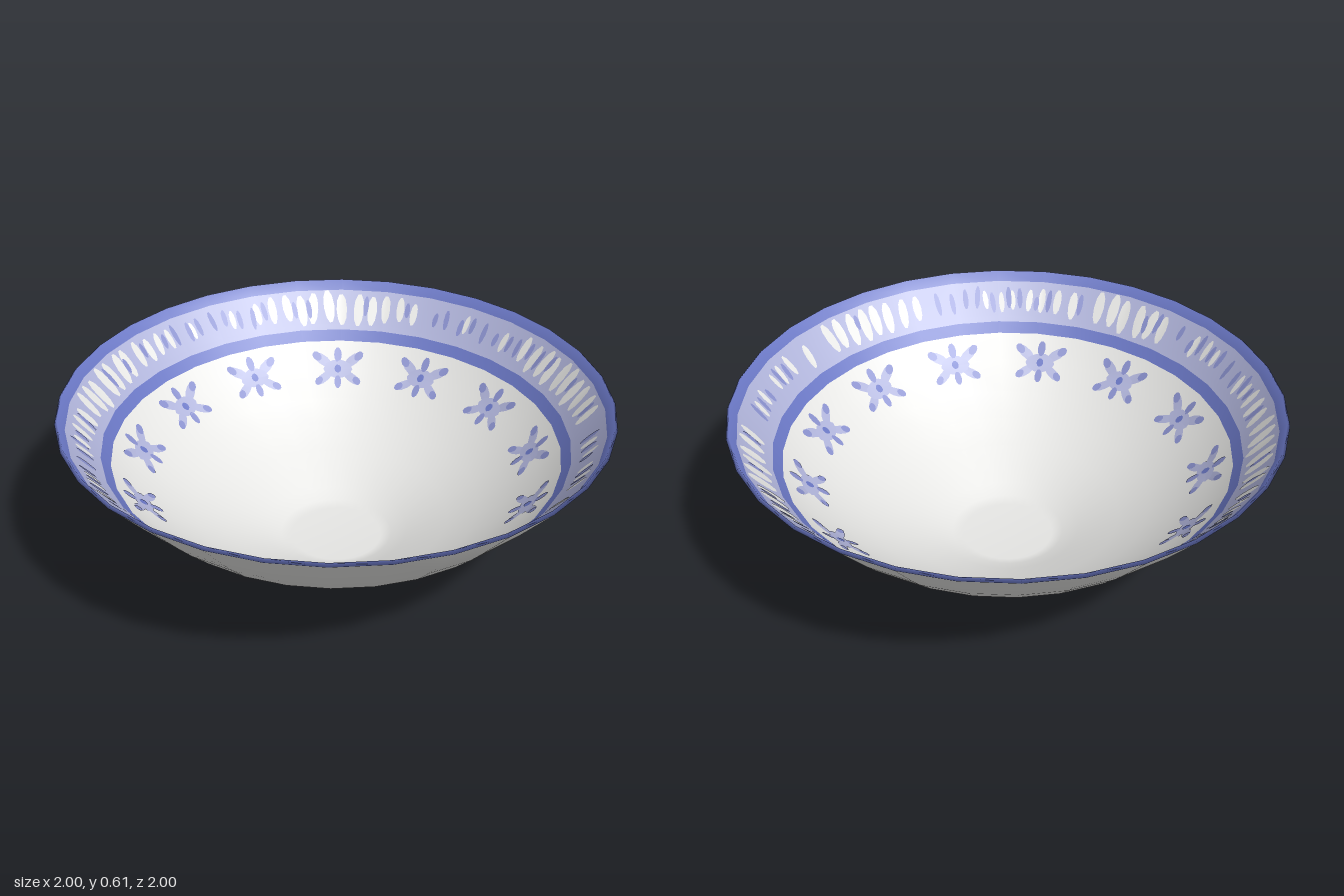
import * as THREE from 'three';
import { mergeGeometries } from 'three/addons/utils/BufferGeometryUtils.js';

const SIDES = 32;
const THICK = 0.012;

// Outer profile: radius, height
const OUTER = [
  [0, 0], [0.17, 0], [0.21, 0.012], [0.27, 0.037], [0.42, 0.108], [0.53, 0.168],
  [0.63, 0.233], [0.74, 0.318], [0.82, 0.398], [0.87, 0.452], [1, 0.6],
];

function innerY(r) {
  let i = 1;
  while (i < OUTER.length - 1 && OUTER[i][0] < r) i++;
  const [r0, y0] = OUTER[i - 1], [r1, y1] = OUTER[i];
  return y0 + (y1 - y0) * (r - r0) / (r1 - r0) + THICK;
}

// Point just above the faceted inside surface
function onInside(radius, angle, lift) {
  const step = Math.PI * 2 / SIDES;
  const d = angle - Math.floor(angle / step) * step - step / 2;
  const s = radius * Math.cos(d) / Math.cos(step / 2);
  return [radius * Math.cos(angle), innerY(s) + lift, radius * Math.sin(angle)];
}

// Brush dab: an ellipse (offset u along the rim, v outward) wrapped on the inside
function dab(radius, angle, u, v, ru, rv, turn, lift) {
  const g = new THREE.CircleGeometry(1, 10);
  g.scale(ru, rv, 1).rotateZ(turn).translate(u, v, 0);
  const p = g.attributes.position;
  for (let i = 0; i < p.count; i++) {
    p.setXYZ(i, ...onInside(radius + p.getY(i), angle + p.getX(i) / radius, lift));
  }
  g.computeVertexNormals();
  return g;
}

function seeded(seed) {
  return () => {
    seed = (seed * 16807) % 2147483647;
    return seed / 2147483647;
  };
}

export function createModel() {
  const group = new THREE.Group();
  const make = (name, color) => {
    const m = new THREE.MeshStandardMaterial({ color });
    m.name = name;
    return m;
  };
  const white = make('glazeWhite', 0xe6e6e4);
  const blue = make('bandBlue', 0x6a77c4);
  const mid = make('brushBlue', 0x8990cc);
  const pale = make('washBlue', 0xb0b4da);

  // Bowl shell: up the outside, over the rim, down the inside
  const rows = [];
  OUTER.forEach(([r, y]) => rows.push([r, y, 0]));
  rows.push([0.99, 0.61, 1]);
  const inside = [
    [0.966, 1], [0.87, 2], [0.853, 2], [0.82, 1], [0.74, 0], [0.63, 0],
    [0.53, 0], [0.42, 0], [0.27, 0], [0.21, 0], [0.17, 0], [0, 0],
  ];
  inside.forEach(([r, m]) => rows.push([r, innerY(r), m]));
  const bowl = new THREE.LatheGeometry(rows.map(([r, y]) => new THREE.Vector2(r, y)), SIDES);

  // Regroup the faces so each row takes its band colour
  const n = rows.length, index = [];
  bowl.clearGroups();
  for (let j = 0; j < n - 1; j++) {
    const start = index.length;
    for (let i = 0; i < SIDES; i++) {
      const a = j + i * n, b = a + n;
      index.push(a, b, a + 1, b + 1, a + 1, b);
    }
    bowl.addGroup(start, index.length - start, rows[j + 1][2]);
  }
  bowl.setIndex(index);
  const shell = new THREE.Mesh(bowl, [white, blue, pale]);
  shell.name = 'bowl';
  group.add(shell);

  const addPaint = (name, dabs, material) => {
    const mesh = new THREE.Mesh(mergeGeometries(dabs), material);
    mesh.name = name;
    group.add(mesh);
  };

  // Brush strokes around the border, alternately denser and sparser
  const random = seeded(77);
  const gaps = [], strokes = [];
  const count = 96;
  for (let k = 0; k < count; k++) {
    const angle = (k + 0.3 * random()) / count * Math.PI * 2;
    const open = 0.5 + 0.5 * Math.cos(5 * (angle - Math.PI / 2));
    const tilt = (random() - 0.5) * 0.4;
    const length = 0.024 + 0.02 * open + 0.005 * random();
    if (random() < 0.4 + 0.6 * open) {
      gaps.push(dab(0.91, angle, 0, (random() - 0.5) * 0.012, 0.011 + 0.011 * open, length, tilt, 0.002));
    }
    if (random() < 0.9 - 0.65 * open) {
      strokes.push(dab(0.91, angle + Math.PI / count, 0, (random() - 0.5) * 0.02,
        0.011, 0.02 + 0.013 * random(), tilt, 0.004));
    }
  }
  addPaint('borderGaps', gaps, white);
  addPaint('borderStrokes', strokes, mid);

  // Thirteen six-petalled flowers
  const petals = [], hearts = [], tips = [], dots = [];
  for (let k = 0; k < 13; k++) {
    const angle = Math.PI + k * Math.PI * 2 / 13;
    const r = 0.728;
    hearts.push(dab(r, angle, 0, 0, 0.06, 0.031, 0, 0.003));
    for (const su of [-1, 1]) {
      for (const sv of [-1, 1]) {
        const turn = su * sv * 0.5;
        petals.push(dab(r, angle, su * 0.06, sv * 0.03, 0.042, 0.016, turn, 0.002));
        tips.push(dab(r, angle, su * 0.082, sv * 0.041, 0.019, 0.013, turn, 0.004));
      }
      tips.push(dab(r, angle, 0, su * 0.045, 0.015, 0.023, 0, 0.004));
    }
    dots.push(dab(r, angle, 0, 0, 0.014, 0.014, 0, 0.006));
  }
  addPaint('flowerPetals', petals, pale);
  addPaint('flowerHearts', hearts, pale);
  addPaint('flowerTips', tips, mid);
  addPaint('flowerDots', dots, blue);

  return group;
}
